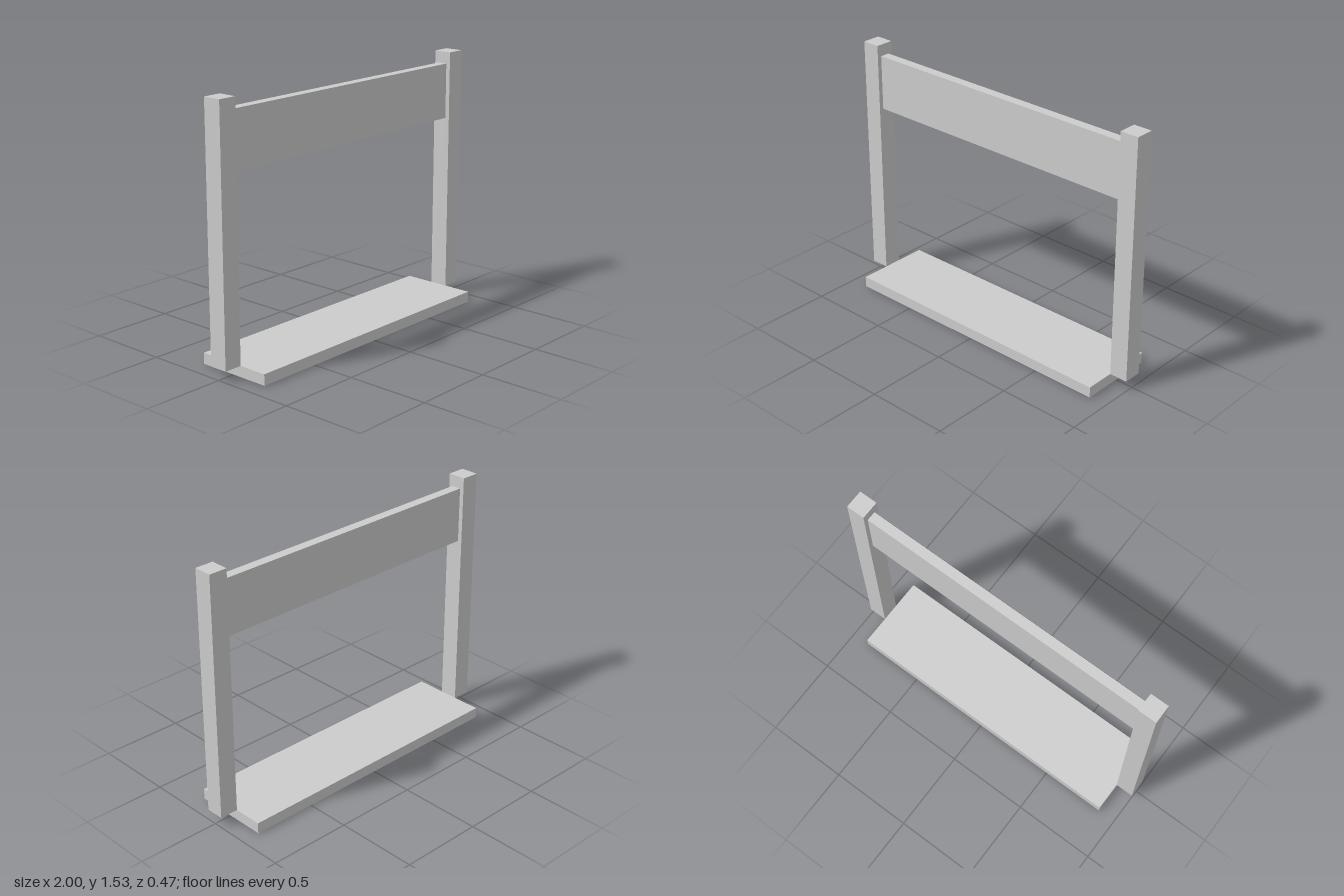
import * as THREE from 'three';

const material = new THREE.MeshStandardMaterial({ color: 0xcccccc, flatShading: true });

// Box centred on x/z offset, spanning y0..y1
function box(name, width, y0, y1, depth, x = 0) {
  const mesh = new THREE.Mesh(new THREE.BoxGeometry(width, y1 - y0, depth), material);
  mesh.name = name;
  mesh.position.set(x, (y0 + y1) / 2, 0);
  return mesh;
}

export function createModel() {
  const group = new THREE.Group();
  group.name = 'postFrame';

  const postWidth = 0.111;
  const innerWidth = 2 - 2 * postWidth;

  // Flat base plank between the posts
  group.add(box('basePlank', innerWidth, 0, 0.065, 0.465));

  // Upright posts, starting level with the top of the plank
  for (const [name, side] of [['leftPost', 1], ['rightPost', -1]]) {
    group.add(box(name, postWidth, 0.065, 1.53, 0.111, side * (1 - postWidth / 2)));
  }

  // Thin upper panel joining the posts
  group.add(box('upperPanel', innerWidth, 1.128, 1.46, 0.058));

  return group;
}
